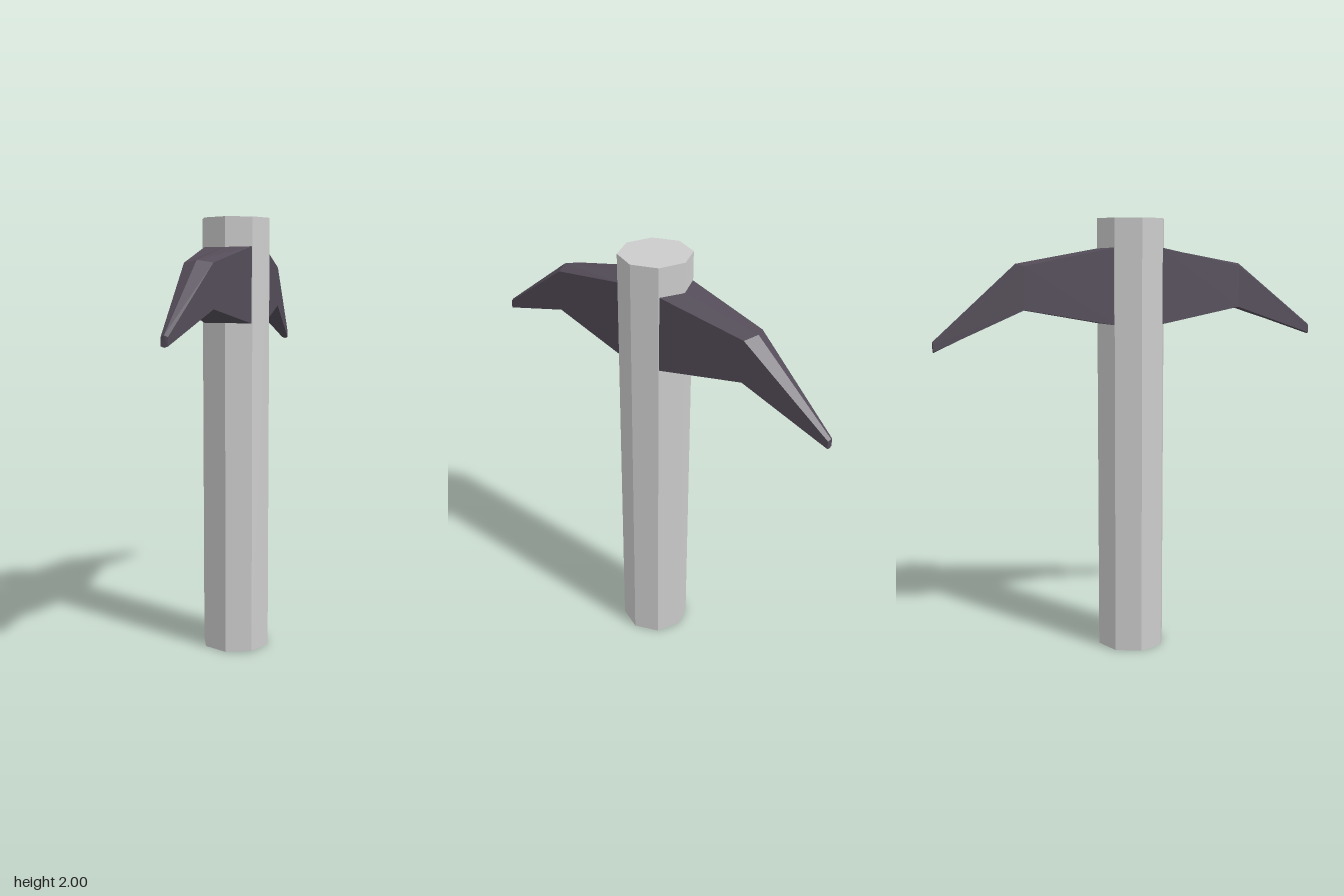
import * as THREE from 'three';

// One pick arm along +z, lofted through six-sided sections.
// Each section: half width, edge z, ridge z, ridge top, edge top, edge bottom, keel bottom
function armGeometry(tipDrop) {
  const sections = [
    [0.112, 0.10, 0.10, 1.878, 1.873, 1.527, 1.522],
    [0.064, 0.51, 0.535, 1.80, 1.79, 1.60, 1.597],
    [0.015, 0.905, 0.908, 1.51 - tipDrop, 1.503 - tipDrop, 1.468 - tipDrop, 1.463 - tipDrop],
  ].map(([w, ze, zr, top, et, eb, bottom]) => [
    [0, top, zr], [-w, et, ze], [-w, eb, ze],
    [0, bottom, ze], [w, eb, ze], [w, et, ze],
  ]);
  const pos = [];
  const tri = (a, b, c) => pos.push(...a, ...b, ...c);
  for (let i = 0; i < 2; i++) {
    for (let j = 0; j < 6; j++) {
      const k = (j + 1) % 6;
      const [a, b, c, d] = [sections[i][j], sections[i][k], sections[i + 1][k], sections[i + 1][j]];
      tri(a, b, c);
      tri(a, c, d);
    }
  }
  // Blunt tip
  const tip = sections[2];
  for (let j = 1; j < 5; j++) tri(tip[0], tip[j], tip[j + 1]);
  const g = new THREE.BufferGeometry();
  g.setAttribute('position', new THREE.Float32BufferAttribute(pos, 3));
  g.computeVertexNormals();
  return g;
}

export function createModel() {
  const group = new THREE.Group();
  group.name = 'pickaxe';
  const handleGrey = new THREE.MeshStandardMaterial({ color: 0xcccccc });
  handleGrey.name = 'light grey handle';
  handleGrey.flatShading = true;
  const headDark = new THREE.MeshStandardMaterial({ color: 0x544d59 });
  headDark.name = 'dark violet grey head';
  headDark.flatShading = true;

  // Octagonal handle with corners on the axes
  const handle = new THREE.Mesh(new THREE.CylinderGeometry(0.16, 0.16, 2, 8), handleGrey);
  handle.name = 'handle';
  handle.position.y = 1;
  group.add(handle);

  // Two curved arms; the rear one droops a little more
  const front = new THREE.Mesh(armGeometry(0), headDark);
  front.name = 'frontPick';
  const back = new THREE.Mesh(armGeometry(0.045), headDark);
  back.name = 'backPick';
  back.rotation.y = Math.PI;
  group.add(front, back);
  return group;
}
